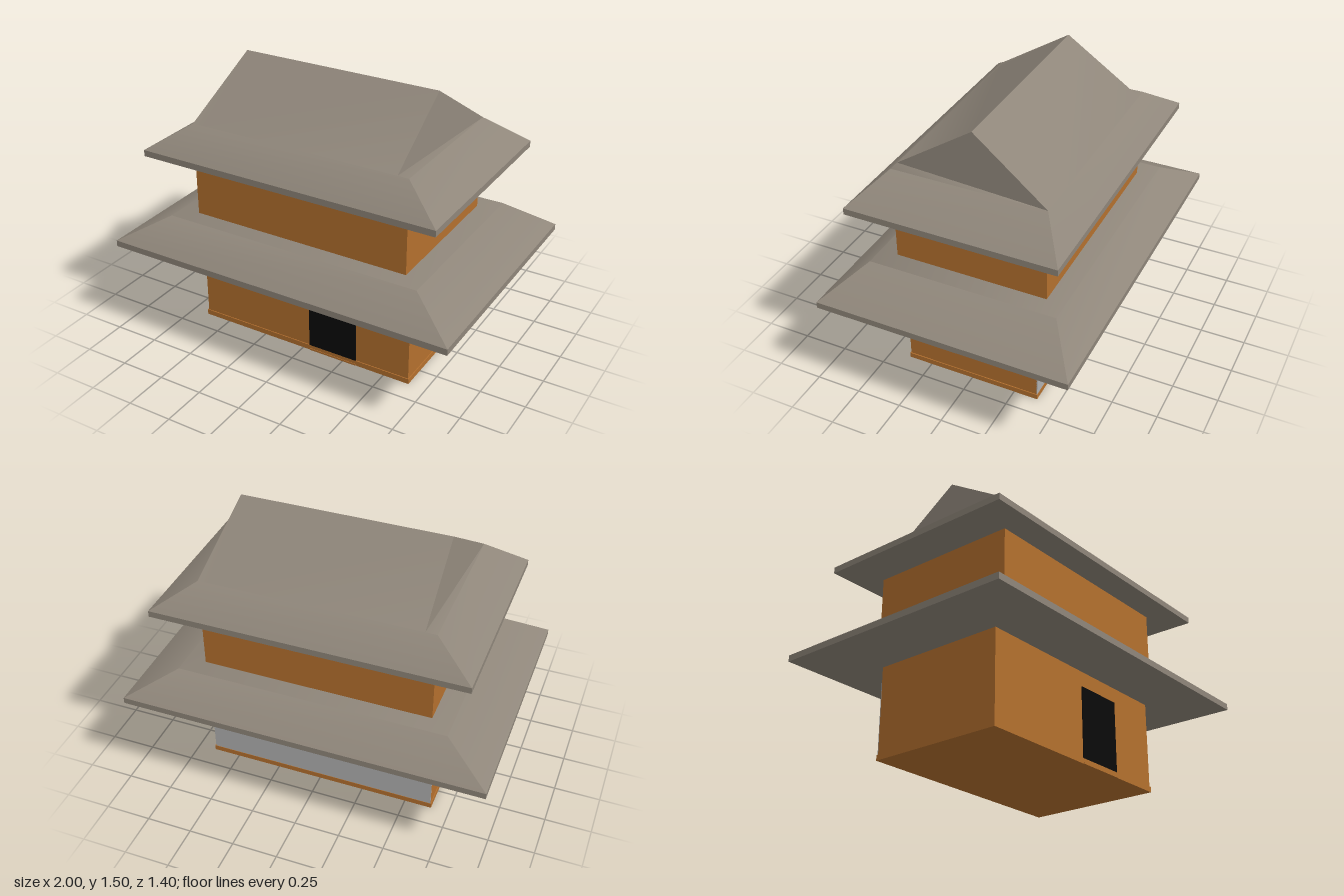
import * as THREE from 'three';
import { toCreasedNormals } from 'three/addons/utils/BufferGeometryUtils.js';

const paint = (name, color) => {
  const m = new THREE.MeshStandardMaterial({ color });
  m.name = name;
  return m;
};

// Rectangle rings [halfX, halfZ, y] joined bottom to top, closed underneath
function loftRings(rings) {
  const points = [], faces = [];
  for (const [x, z, y] of rings) {
    points.push([-x, y, z], [x, y, z], [x, y, -z], [-x, y, -z]);
  }
  for (let r = 0; r < rings.length - 1; r++) {
    for (let i = 0; i < 4; i++) {
      const a = r * 4 + i, b = r * 4 + (i + 1) % 4;
      faces.push(a, b, b + 4, a, b + 4, a + 4);
    }
  }
  faces.push(0, 2, 1, 0, 3, 2);
  return { points, faces };
}

function finish({ points, faces }) {
  const geometry = new THREE.BufferGeometry();
  geometry.setAttribute('position', new THREE.Float32BufferAttribute(points.flat(), 3));
  geometry.setIndex(faces);
  return toCreasedNormals(geometry, Math.PI / 4);
}

export function createModel() {
  const group = new THREE.Group();
  const wall = paint('ochre wall', 0xb4702e);
  const tile = paint('grey brown roof', 0x8f867a);
  const black = paint('black door', 0x0a0a0a);
  const grey = paint('grey panel', 0xb0b0b0);

  const add = (name, geometry, material) => {
    const mesh = new THREE.Mesh(geometry, material);
    mesh.name = name;
    group.add(mesh);
    return mesh;
  };
  const box = (name, material, x0, x1, y0, y1, z0, z1) =>
    add(name, new THREE.BoxGeometry(x1 - x0, y1 - y0, z1 - z0), material)
      .position.set((x0 + x1) / 2, (y0 + y1) / 2, (z0 + z1) / 2);

  // Storeys and plinth
  box('plinth', wall, -0.65, 0.65, 0, 0.03, -0.385, 0.385);
  box('lowerWalls', wall, -0.645, 0.645, 0.03, 0.505, -0.38, 0.38);
  box('upperWalls', wall, -0.635, 0.635, 0.685, 1.035, -0.425, 0.425);

  // Door, its step and the back panel
  box('door', black, 0.04, 0.33, 0.03, 0.42, 0.379, 0.385);
  box('doorStep', wall, 0.04, 0.33, 0, 0.01, 0.384, 0.388);
  box('backPanel', grey, -0.645, 0.645, 0.03, 0.42, -0.383, -0.379);

  // Lower skirt roof with a flat top
  const skirt = loftRings([[1, 0.7, 0.505], [1, 0.7, 0.54], [0.745, 0.525, 0.685]]);
  skirt.faces.push(8, 9, 10, 8, 10, 11);
  add('lowerRoof', finish(skirt), tile);

  // Upper roof: hipped eaves, ridge, and gable ends set in from the hips
  const top = loftRings([[0.855, 0.575, 1.035], [0.855, 0.575, 1.07], [0.635, 0.425, 1.215]]);
  const [hipFL, hipFR, hipBR, hipBL] = [8, 9, 10, 11];
  const [ridgeL, ridgeR, footFL, footFR, footBR, footBL] = [12, 13, 14, 15, 16, 17];
  top.points.push([-0.573, 1.5, 0], [0.573, 1.5, 0],
    [-0.573, 1.215, 0.425], [0.573, 1.215, 0.425], [0.573, 1.215, -0.425], [-0.573, 1.215, -0.425]);
  top.faces.push(
    footFL, footFR, ridgeR, footFL, ridgeR, ridgeL,
    footBR, footBL, ridgeL, footBR, ridgeL, ridgeR);
  const gable = (ridge, foot, hip, farHip, farFoot) => top.faces.push(
    foot, farHip, ridge, foot, hip, farHip, farHip, farFoot, ridge);
  gable(ridgeR, footFR, hipFR, hipBR, footBR);
  gable(ridgeL, footBL, hipBL, hipFL, footFL);
  add('upperRoof', finish(top), tile);

  return group;
}
